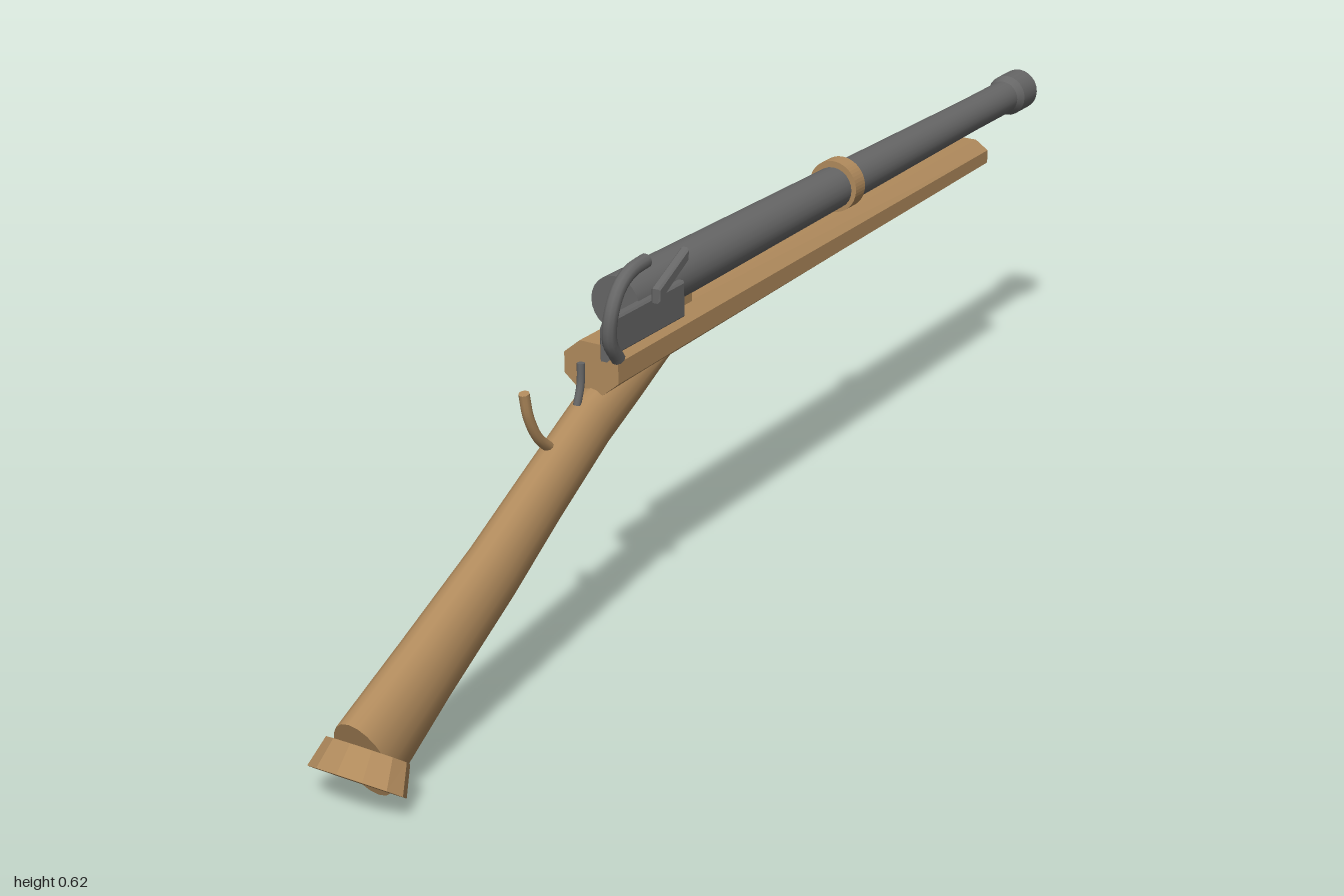
import * as THREE from 'three';

const WOOD = new THREE.MeshStandardMaterial({ color: 0xb08a5c });
const STEEL = new THREE.MeshStandardMaterial({ color: 0x666666 });
const CX = -0.005; // shared centre line of barrel and stock

// Elliptical loft; each section is [z, y, halfWidth, halfHeight, tilt], ordered back-to-front along its axis
function loft(sections, sides, flat, phase = 0) {
  const pos = [], index = [];
  const k = flat ? 1 / Math.cos(Math.PI / sides) : 1;
  const ring = ([z, y, w, h, tilt = 0]) => {
    const start = pos.length / 3;
    for (let j = 0; j < sides; j++) {
      const t = phase + (j / sides) * Math.PI * 2;
      const n = Math.sin(t) * h * k;
      pos.push(Math.cos(t) * w * k, y + n * Math.cos(tilt), z + n * Math.sin(tilt));
    }
    return start;
  };
  const starts = sections.map(ring);
  for (let i = 0; i < starts.length - 1; i++) {
    for (let j = 0; j < sides; j++) {
      const m = (j + 1) % sides;
      const a = starts[i] + j, b = starts[i] + m, c = starts[i + 1] + m, d = starts[i + 1] + j;
      index.push(a, b, c, a, c, d);
    }
  }
  // End caps with their own vertices so the rims stay sharp
  const first = ring(sections[0]), last = ring(sections[sections.length - 1]);
  for (let j = 1; j < sides - 1; j++) {
    index.push(first, first + j + 1, first + j, last, last + j, last + j + 1);
  }
  let geo = new THREE.BufferGeometry();
  geo.setAttribute('position', new THREE.Float32BufferAttribute(pos, 3));
  geo.setIndex(index);
  if (flat) geo = geo.toNonIndexed();
  geo.computeVertexNormals();
  return geo;
}

// Solid of revolution about the barrel axis from [radius, distance] pairs; corners are kept sharp
function turned(profile) {
  const group = new THREE.Group();
  for (let i = 0; i < profile.length - 1; i++) {
    const pts = [profile[i], profile[i + 1]].map(([r, d]) => new THREE.Vector2(r, d));
    group.add(new THREE.Mesh(new THREE.LatheGeometry(pts, 24), STEEL));
  }
  group.rotation.x = -Math.PI / 2; // lathe axis +y becomes -z
  return group;
}

// Curved rod through [x, y, z] points with closed ends
function rod(points, radius, material) {
  const curve = new THREE.CatmullRomCurve3(points.map(p => new THREE.Vector3(...p)));
  const group = new THREE.Group();
  group.add(new THREE.Mesh(new THREE.TubeGeometry(curve, 20, radius, 10), material));
  for (const t of [0, 1]) {
    const end = new THREE.Mesh(new THREE.CircleGeometry(radius, 10), material);
    const p = curve.getPoint(t), dir = curve.getTangent(t).multiplyScalar(t ? 1 : -1);
    end.position.copy(p);
    end.lookAt(p.clone().add(dir));
    group.add(end);
  }
  return group;
}

// Side-outline plate from [z, y] points, extruded across x
function plate(outline, x0, x1) {
  const shape = new THREE.Shape(outline.map(([z, y]) => new THREE.Vector2(-z, y)));
  const b = 0.003;
  const geo = new THREE.ExtrudeGeometry(shape, {
    depth: x1 - x0 - 2 * b, bevelEnabled: true, bevelSize: b, bevelThickness: b, bevelOffset: -b, bevelSegments: 1,
  });
  geo.rotateY(Math.PI / 2);
  geo.translate(x0 + b, 0, 0);
  return new THREE.Mesh(geo, STEEL);
}

export function createModel() {
  const model = new THREE.Group();
  const add = (name, object, x = 0, y = 0, z = 0) => {
    object.name = name;
    object.position.set(x, y, z);
    model.add(object);
    return object;
  };

  // Tapered barrel with flared muzzle and open bore
  add('barrel', turned([
    [0, -0.32], [0.042, -0.32], [0.029, 0.8], [0.029, 0.935], [0.036, 0.95],
    [0.036, 1], [0.016, 1], [0.016, 0.93], [0, 0.93],
  ]), CX, 0.526, 0);

  // Band around the barrel
  const bandShape = new THREE.Shape().absarc(0, 0, 0.043, 0, Math.PI * 2);
  bandShape.holes.push(new THREE.Path().absarc(0, 0, 0.03, 0, Math.PI * 2, true));
  const bandGeo = new THREE.ExtrudeGeometry(bandShape, { depth: 0.03, bevelEnabled: false, curveSegments: 24 });
  add('barrelBand', new THREE.Mesh(bandGeo, WOOD), CX, 0.528, -0.35);

  // Eight-sided fore stock
  add('foreStock', new THREE.Mesh(loft([
    [-0.8, 0.458, 0.04, 0.027], [0.385, 0.447, 0.047, 0.039],
  ], 8, true, Math.PI / 8), WOOD), CX);

  // Bedding block joining breech and stock
  add('breechBed', new THREE.Mesh(new THREE.BoxGeometry(0.05, 0.03, 0.16), WOOD), CX, 0.486, 0.23);

  // Swept grip
  add('grip', new THREE.Mesh(loft([
    [0.17, 0.432, 0.022, 0.014, 0.3], [0.22, 0.424, 0.027, 0.025, 0.38],
    [0.3, 0.4, 0.031, 0.041, 0.45], [0.39, 0.365, 0.033, 0.047, 0.48],
    [0.52, 0.294, 0.035, 0.05, 0.5], [0.64, 0.225, 0.037, 0.055, 0.48],
    [0.8, 0.143, 0.041, 0.061, 0.46], [0.943, 0.067, 0.044, 0.072, 0.4],
  ], 20, false), WOOD), CX);

  // Wide faceted butt cap
  add('buttCap', new THREE.Mesh(loft([
    [0.933, 0.078, 0.063, 0.044, 0.93], [0.96, 0.042, 0.075, 0.05, 0.93],
  ], 12, true), WOOD), CX);

  // Guard spur and trigger
  add('guardSpur', rod([
    [-0.007, 0.463, 0.55], [-0.007, 0.425, 0.541], [-0.007, 0.385, 0.519], [-0.007, 0.355, 0.485],
  ], 0.008, WOOD));
  add('trigger', rod([
    [-0.007, 0.462, 0.408], [-0.007, 0.43, 0.41], [-0.007, 0.4, 0.42],
  ], 0.006, STEEL));

  // Lock on the left side: plate, striker plate and curved hammer
  add('lockPlate', plate([
    [0.415, 0.475], [0.385, 0.48], [0.21, 0.48], [0.21, 0.537], [0.405, 0.537], [0.415, 0.525],
  ], 0.03, 0.046));
  add('strikerPlate', plate([
    [0.322, 0.54], [0.24, 0.583], [0.24, 0.602], [0.322, 0.562],
  ], 0.058, 0.073));
  add('hammer', rod([
    [0.062, 0.485, 0.415], [0.065, 0.52, 0.44], [0.069, 0.562, 0.441],
    [0.069, 0.595, 0.42], [0.068, 0.61, 0.39], [0.067, 0.614, 0.348],
  ], 0.011, STEEL));

  return model;
}
